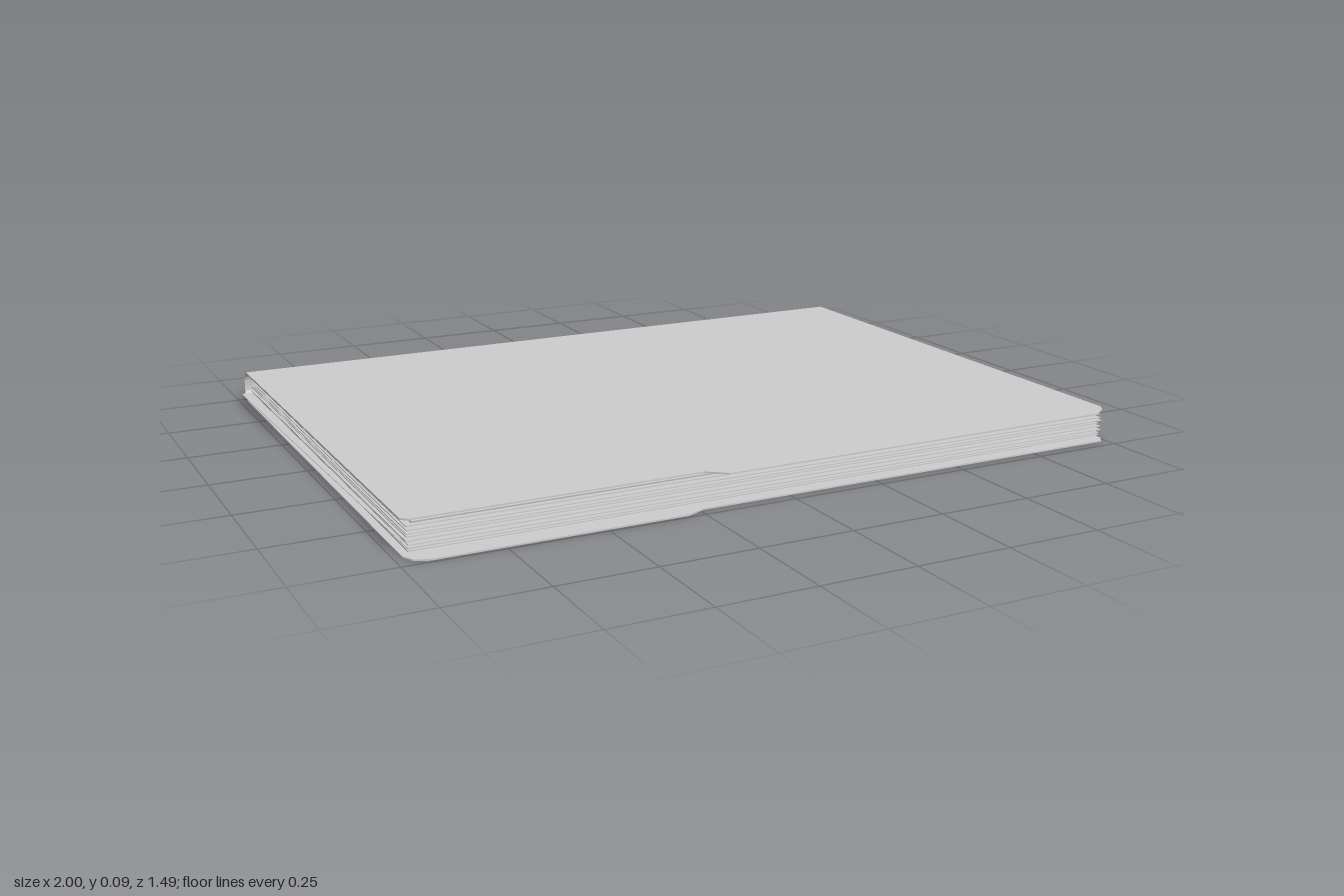
import * as THREE from 'three';
import { toCreasedNormals } from 'three/addons/utils/BufferGeometryUtils.js';

const HEIGHT = 0.09, THICK = 0.004, BEND = 0.035, BACK = -0.748, HINGE = BACK + BEND;

export function createModel() {
  const group = new THREE.Group();
  const material = new THREE.MeshStandardMaterial({ color: 0xcccccc, side: THREE.DoubleSide });
  const add = (geometry, name) => {
    const mesh = new THREE.Mesh(geometry, material);
    mesh.name = name;
    group.add(mesh);
    return mesh;
  };

  // Thin flat panel from an outline of [x, z] corners
  const panel = (points, y, thickness, name) => {
    const shape = new THREE.Shape(points.map(([x, z]) => new THREE.Vector2(x, -z)));
    const geometry = new THREE.ExtrudeGeometry(shape, { depth: thickness, bevelEnabled: false });
    geometry.rotateX(-Math.PI / 2).translate(0, y, 0);
    return add(geometry, name);
  };

  // Covers: the top one has its tab on the left, the bottom one on the right
  panel([[-0.98, HINGE], [-0.98, 0.69], [-0.965, 0.703], [-0.23, 0.703], [-0.18, 0.742],
    [0.94, 0.742], [0.985, 0.71], [0.997, 0.69], [0.997, HINGE]], HEIGHT - THICK, THICK, 'topCover');
  panel([[-0.98, HINGE], [-0.98, 0.7], [-0.965, 0.728], [-0.93, 0.742], [-0.29, 0.742], [-0.24, 0.72],
    [0.98, 0.72], [0.997, 0.7], [0.997, HINGE]], 0, THICK, 'bottomCover');

  // Rounded spine: a bent strip swept along x
  const spine = new THREE.Shape();
  spine.moveTo(-HINGE, 0);
  spine.absarc(-HINGE, BEND, BEND, -Math.PI / 2, 0, false);
  spine.absarc(-HINGE, HEIGHT - BEND, BEND, 0, Math.PI / 2, false);
  spine.absarc(-HINGE, HEIGHT - BEND, BEND - THICK, Math.PI / 2, 0, true);
  spine.absarc(-HINGE, BEND, BEND - THICK, 0, -Math.PI / 2, true);
  const spineGeometry = new THREE.ExtrudeGeometry(spine, { depth: 1.977, bevelEnabled: false, curveSegments: 10 });
  spineGeometry.rotateY(Math.PI / 2).translate(-0.98, 0, 0);
  add(toCreasedNormals(spineGeometry, 0.6), 'spine');

  // Inner stack with a rounded back edge
  const core = new THREE.Shape();
  core.moveTo(-0.695, 0.01);
  core.lineTo(0.70, 0.01);
  core.quadraticCurveTo(0.765, 0.045, 0.70, 0.08);
  core.lineTo(-0.695, 0.08);
  core.quadraticCurveTo(-0.685, 0.045, -0.695, 0.01);
  const coreGeometry = new THREE.ExtrudeGeometry(core, { depth: 1.925, bevelEnabled: false, curveSegments: 10 });
  coreGeometry.rotateY(Math.PI / 2).translate(-0.955, 0, 0);
  add(toCreasedNormals(coreGeometry, 0.6), 'paperStack');

  // Loose sheets whose edges stand a little proud of the stack
  const sheets = 8;
  for (let i = 0; i < sheets; i++) {
    const y = 0.014 + i * 0.0085;
    const reach = 0.704 + 0.009 * Math.abs(Math.sin(i * 2.3));
    const left = -0.968 - 0.006 * Math.abs(Math.sin(i * 1.7));
    const right = 0.976 + 0.008 * Math.abs(Math.cos(i * 1.9));
    panel([[left, -0.7], [left, reach], [right, reach], [right, -0.7]], y, 0.0025, 'sheet');
  }

  // One skewed sheet sticking out at the side
  panel([[-1, -0.7], [-0.975, 0.725], [-0.9, 0.725], [-0.9, -0.7]], 0.03, 0.0015, 'skewedSheet');

  return group;
}
